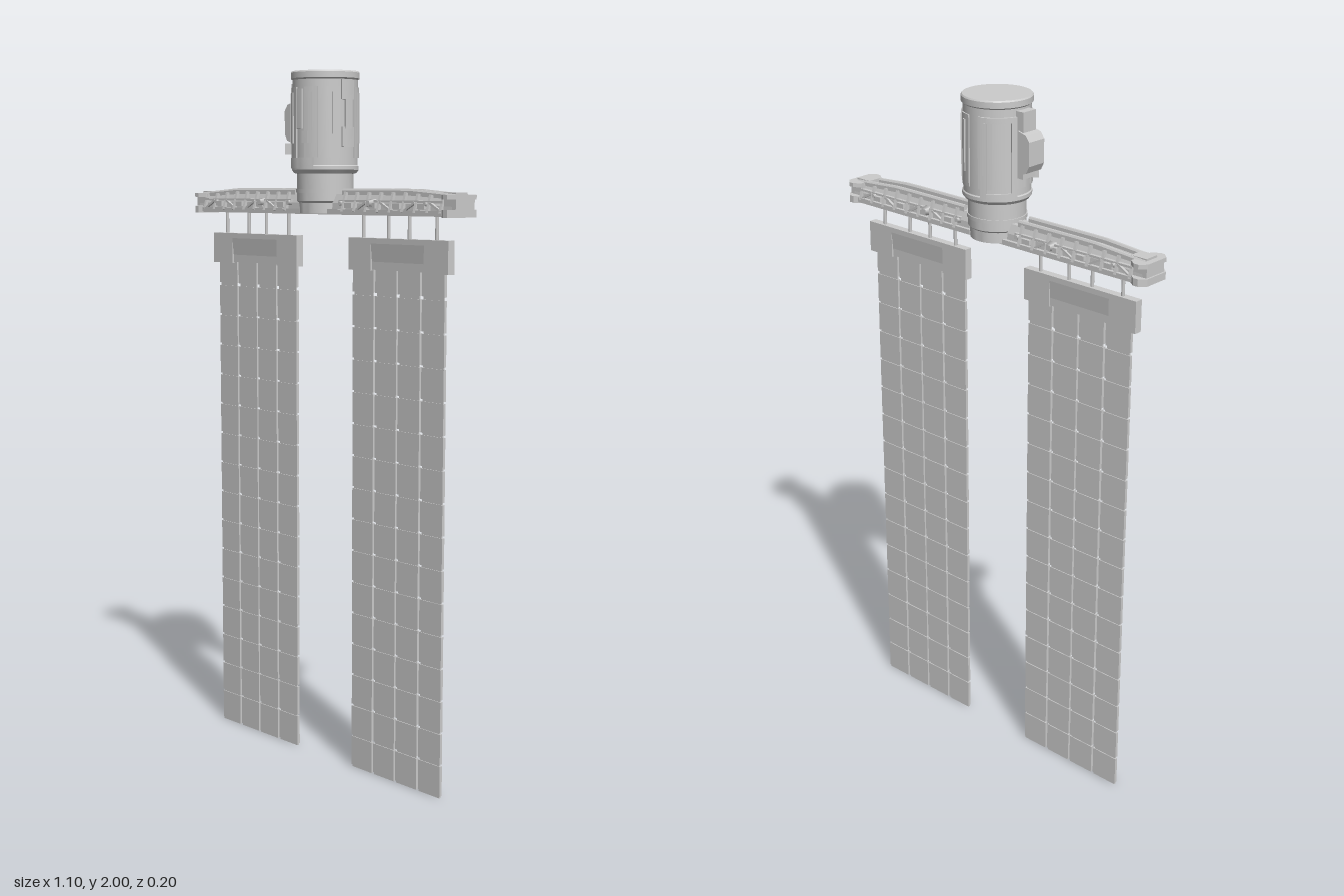
import * as THREE from 'three';
import { toCreasedNormals } from 'three/addons/utils/BufferGeometryUtils.js';

const grey = new THREE.MeshStandardMaterial({ color: 0xcccccc });

function add(parent, name, geometry, x = 0, y = 0, z = 0) {
  const mesh = new THREE.Mesh(geometry, grey);
  mesh.name = name;
  mesh.position.set(x, y, z);
  parent.add(mesh);
  return mesh;
}

// Box given by its minimum and maximum corners
function block(parent, name, x0, x1, y0, y1, z0, z1) {
  return add(parent, name, new THREE.BoxGeometry(x1 - x0, y1 - y0, z1 - z0),
    (x0 + x1) / 2, (y0 + y1) / 2, (z0 + z1) / 2);
}

// Curved plate on the drum; angles in degrees, 0 = front, 90 = model's left
function arcPlate(parent, name, mid, half, y0, y1, r0, r1) {
  const steps = Math.max(2, Math.ceil(half / 4));
  const pts = [];
  const put = (r, t) => {
    const a = THREE.MathUtils.degToRad(mid + half * t);
    pts.push(new THREE.Vector2(Math.sin(a) * r, -Math.cos(a) * r));
  };
  for (let i = 0; i <= steps; i++) put(r1, -1 + (2 * i) / steps);
  for (let i = steps; i >= 0; i--) put(r0, -1 + (2 * i) / steps);
  const g = new THREE.ExtrudeGeometry(new THREE.Shape(pts), { depth: y1 - y0, bevelEnabled: false });
  g.rotateX(-Math.PI / 2);
  return add(parent, name, toCreasedNormals(g, 0.5), 0, y0, 0);
}

// Half profile [z, y] mirrored in z and swept from x0 to x1
function sweepX(parent, name, half, x0, x1, rule) {
  const pts = half.map(([z, y]) => new THREE.Vector2(-z, y))
    .concat(half.slice().reverse().map(([z, y]) => new THREE.Vector2(z, y)));
  const g = new THREE.ExtrudeGeometry(new THREE.Shape(pts), { depth: x1 - x0, steps: 8, bevelEnabled: false });
  g.rotateY(Math.PI / 2);
  g.translate(x0, 0, 0);
  if (rule) {
    const p = g.attributes.position;
    for (let i = 0; i < p.count; i++) p.setY(i, rule(p.getX(i), p.getY(i)));
    g.computeVertexNormals();
  }
  return add(parent, name, g);
}

function buildDrum() {
  const drum = new THREE.Group();
  drum.name = 'drum';
  const profile = [[0, 2], [0.094, 2], [0.097, 1.996], [0.097, 1.98], [0.092, 1.976], [0.092, 1.74],
    [0.095, 1.737], [0.095, 1.727], [0.088, 1.718], [0.08, 1.716], [0.08, 1.64], [0.074, 1.635],
    [0.074, 1.606], [0, 1.606]].reverse().map(([r, y]) => new THREE.Vector2(r, y));
  add(drum, 'drumShell', toCreasedNormals(new THREE.LatheGeometry(profile, 48), 0.5));
  add(drum, 'neckRing', new THREE.CylinderGeometry(0.083, 0.083, 0.01, 48), 0, 1.668, 0);

  // Raised skin plates, each with a narrow rib
  for (const a of [-22, 22, 62, 118, 158, 202, 262, 306]) {
    arcPlate(drum, 'skinPlate', a, 12, 1.76, 1.955, 0.09, 0.096);
    arcPlate(drum, 'skinRib', a, 3, 1.8, 1.94, 0.09, 0.1);
  }
  arcPlate(drum, 'frontPlate', 0, 6, 1.84, 1.95, 0.09, 0.099);
  arcPlate(drum, 'frontLowerPlate', 12, 6, 1.8, 1.835, 0.09, 0.1);
  arcPlate(drum, 'frontBand', 0, 27, 1.73, 1.76, 0.09, 0.1);

  // Framed panel on the rear right
  arcPlate(drum, 'framedPanel', 225, 20, 1.75, 1.94, 0.088, 0.094);
  for (const s of [-1, 1]) arcPlate(drum, 'panelFrameSide', 225 + s * 25, 5, 1.735, 1.955, 0.088, 0.099);
  arcPlate(drum, 'panelFrameTop', 225, 25, 1.94, 1.955, 0.088, 0.099);
  arcPlate(drum, 'panelFrameBottom', 225, 25, 1.735, 1.75, 0.088, 0.099);

  // Stacked fittings on the left side
  arcPlate(drum, 'sideFittingTop', 90, 14, 1.92, 1.975, 0.09, 0.097);
  arcPlate(drum, 'sideFittingStem', 90, 7, 1.84, 1.92, 0.09, 0.099);
  arcPlate(drum, 'sideFittingBase', 90, 13, 1.79, 1.845, 0.09, 0.098);

  // Equipment pod on the right side
  block(drum, 'podMount', -0.115, -0.08, 1.79, 1.97, -0.025, 0.025);
  const pod = new THREE.Shape([[-0.1, 1.8], [-0.13, 1.81], [-0.14, 1.83], [-0.14, 1.895], [-0.128, 1.912],
    [-0.1, 1.92]].map(([x, y]) => new THREE.Vector2(x, y)));
  add(drum, 'pod', new THREE.ExtrudeGeometry(pod, { depth: 0.06, bevelEnabled: false }), 0, 0, -0.03);
  const box = block(drum, 'smallSensor', -0.085, -0.06, 1.77, 1.8, 0.06, 0.082);
  box.rotation.y = -0.8;
  return drum;
}

// One arm of the crossbeam, built toward +x
function buildArm() {
  const arm = new THREE.Group();
  arm.name = 'beamArm';
  const top = (x) => 1 - 0.2 * THREE.MathUtils.clamp((x - 0.36) / 0.18, 0, 1);
  const taper = (x, y) => 1.605 + (y - 1.605) * top(x);
  sweepX(arm, 'beamCore', [[0.038, 1.607], [0.036, 1.635], [0.026, 1.66], [0.012, 1.66], [0.01, 1.655]], 0.07, 0.53, taper);
  for (const s of [-1, 1]) {
    const rail = sweepX(arm, 'topRail', [[0.006, 1.652], [0.006, 1.67], [0.003, 1.675]], 0.1, 0.53, taper);
    rail.position.z = s * 0.021;
    block(arm, 'lowerRail', 0.06, 0.52, 1.605, 1.618, s * 0.041 - 0.006, s * 0.041 + 0.006);
    block(arm, 'middleRail', 0.1, 0.5, 1.638, 1.644, s * 0.036 - 0.005, s * 0.036 + 0.005);
    // Uprights and slanted braces between the rails
    for (let i = 0; i < 9; i++) {
      const x = 0.12 + i * 0.047;
      const post = block(arm, 'upright', x - 0.004, x + 0.004, 1.61, taper(x, 1.666), s * 0.037 - 0.005, s * 0.037 + 0.005);
      post.rotation.x = -s * 0.28;
      if (i % 2) {
        const brace = add(arm, 'brace', new THREE.BoxGeometry(0.045, 0.006, 0.008), x + 0.023, 1.628, s * 0.039);
        brace.rotation.z = i % 4 === 1 ? 0.5 : -0.5;
      } else if (i < 8) {
        block(arm, 'sideBox', x + 0.01, x + 0.037, 1.622, 1.636, s * 0.04 - 0.007, s * 0.04 + 0.007);
      }
    }
    // Side lugs
    for (const [x, w, z] of [[0.23, 0.017, 0.054], [0.11, 0.012, 0.048], [0.44, 0.01, 0.048]]) {
      const lug = new THREE.CylinderGeometry(w * 0.6, w, z - 0.03, 4, 1).rotateY(Math.PI / 4).rotateX(s * Math.PI / 2);
      add(arm, 'sideLug', lug, x, 1.635, s * (z + 0.03) / 2);
    }
  }
  // Flared end cap
  const cap = new THREE.Shape([[0.495, 0.04], [0.515, 0.055], [0.53, 0.055], [0.548, 0.038], [0.548, -0.038],
    [0.53, -0.055], [0.515, -0.055], [0.495, -0.04]].map(([x, z]) => new THREE.Vector2(x, z)));
  const plate = (depth) => new THREE.ExtrudeGeometry(cap, { depth, bevelEnabled: false }).rotateX(-Math.PI / 2);
  add(arm, 'endCapBase', plate(0.02), 0, 1.601, 0);
  add(arm, 'endCapTop', plate(0.012), 0, 1.648, 0);
  block(arm, 'endCapCore', 0.5, 0.543, 1.62, 1.65, -0.036, 0.036);
  block(arm, 'endCapSpine', 0.48, 0.53, 1.65, 1.666, -0.022, 0.022);
  return arm;
}

// One hanging array: header, rods and four strips of tiles
function buildArray() {
  const array = new THREE.Group();
  array.name = 'hangingArray';
  block(array, 'headerEnd', 0.11, 0.2, 1.45, 1.54, -0.012, 0.012);
  block(array, 'headerEnd', 0.405, 0.495, 1.45, 1.54, -0.012, 0.012);
  sweepX(array, 'headerMiddle', [[0.007, 1.453], [0.007, 1.475], [0.012, 1.525], [0.012, 1.54]], 0.2, 0.405);
  for (const x of [0.159, 0.259, 0.339, 0.442]) {
    add(array, 'hangerRod', new THREE.CylinderGeometry(0.005, 0.005, 0.075, 10), x, 1.573, 0);
  }
  const pitch = 0.092;
  const tile = new THREE.BoxGeometry(0.084, pitch - 0.006, 0.009);
  for (const x of [0.162, 0.253, 0.343, 0.434]) {
    block(array, 'stripTop', x - 0.042, x + 0.042, 1.389, 1.455, -0.0045, 0.0045);
    block(array, 'stripBacking', x - 0.038, x + 0.038, 0.004, 1.4, -0.002, 0.002);
    for (let i = 0; i < 15; i++) add(array, 'tile', tile, x, 0.049 + i * pitch, 0);
    block(array, 'stripFoot', x - 0.04, x + 0.04, 0, 0.008, -0.003, 0.003);
  }
  return array;
}

export function createModel() {
  const model = new THREE.Group();
  model.name = 'station';
  model.add(buildDrum());
  block(model, 'beamFloor', -0.52, 0.52, 1.603, 1.61, -0.045, 0.045);
  // Arms and arrays repeat on both sides by half a turn
  for (const turn of [0, Math.PI]) {
    const side = new THREE.Group();
    side.name = turn ? 'rightSide' : 'leftSide';
    side.add(buildArm(), buildArray());
    side.rotation.y = turn;
    model.add(side);
  }
  return model;
}
